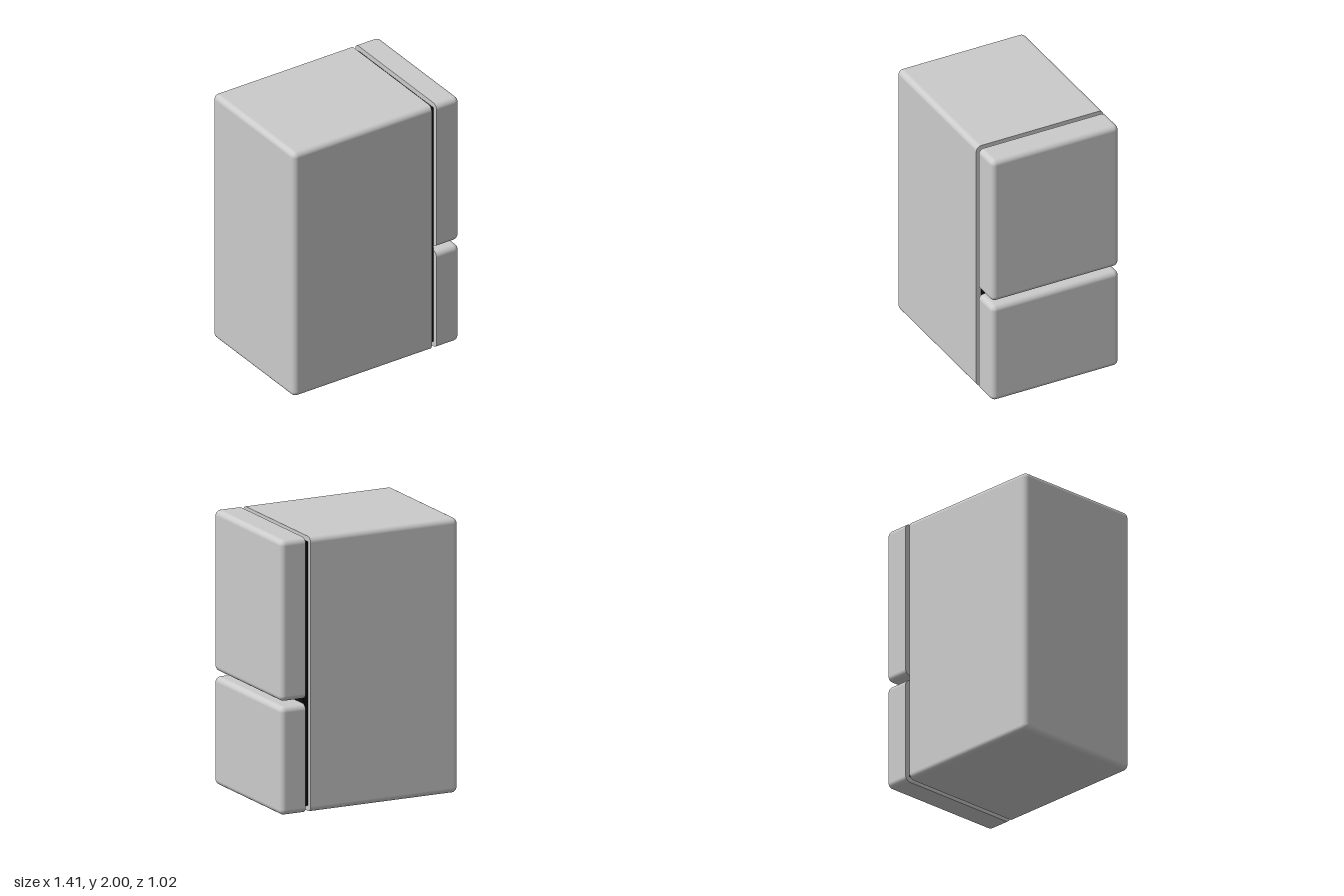
import * as THREE from 'three';
import { RoundedBoxGeometry } from 'three/addons/geometries/RoundedBoxGeometry.js';

const R = 0.04;      // edge radius
const DEPTH = 1.02;  // size along z

// Rounded box spanning x0..x1 and y0..y1, with a flat, square-edged face on one x side (+1 or -1)
function panelGeometry(x0, x1, y0, y1, flatSide) {
  const core = x1 - x0;
  const g = new RoundedBoxGeometry(core + R, y1 - y0, DEPTH, 5, R);
  const p = g.attributes.position, n = g.attributes.normal;
  const limit = (core + R) / 2 - R; // plane where the rounding would begin
  for (let i = 0; i < p.count; i += 3) {
    let flat = true;
    for (let k = i; k < i + 3; k++) {
      if (p.getX(k) * flatSide > limit - 1e-5) p.setX(k, limit * flatSide);
      else flat = false;
    }
    if (flat) for (let k = i; k < i + 3; k++) n.setXYZ(k, flatSide, 0, 0);
  }
  g.translate((x0 + x1 + R * flatSide) / 2, (y0 + y1) / 2, 0);
  return g;
}

export function createModel() {
  const group = new THREE.Group();
  const grey = new THREE.MeshStandardMaterial({ color: 0xcccccc });
  const black = new THREE.MeshStandardMaterial({ color: 0x0c0c0c });
  const add = (name, geometry, material) => {
    const mesh = new THREE.Mesh(geometry, material);
    mesh.name = name;
    group.add(mesh);
  };

  // Cabinet, flat where the doors close against it
  add('cabinet', panelGeometry(-0.706, 0.47, 0, 2, 1), grey);

  // Two doors with a gap between them
  add('upperDoor', panelGeometry(0.51, 0.706, 0.828, 2, -1), grey);
  add('lowerDoor', panelGeometry(0.51, 0.706, 0, 0.788, -1), grey);

  // Recessed dark seal between cabinet and doors
  const seal = new THREE.BoxGeometry(0.04, 1.92, 0.94);
  seal.translate(0.49, 1, 0);
  add('doorSeal', seal, black);

  return group;
}
